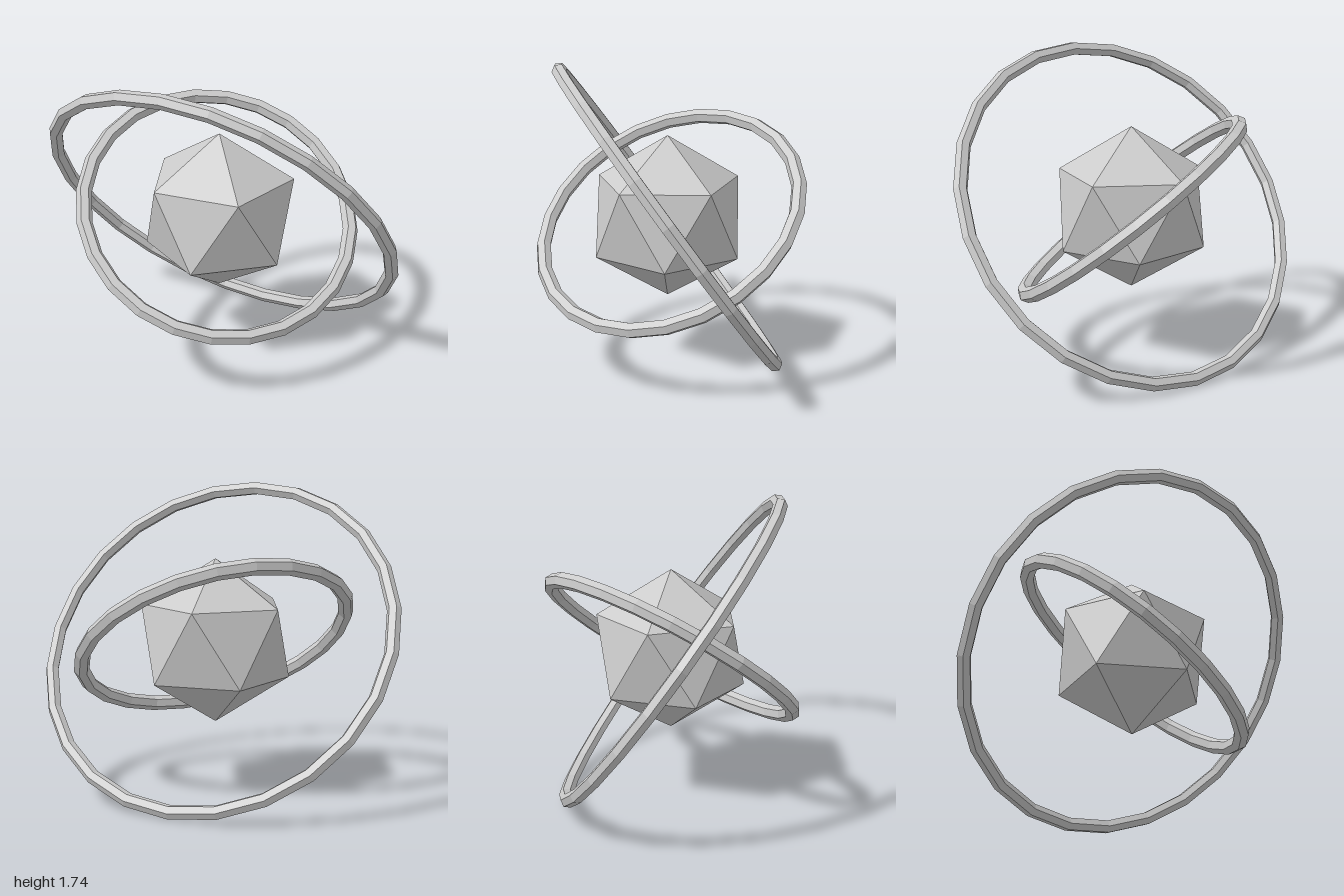
import * as THREE from 'three';

export function createModel() {
  const group = new THREE.Group();
  const material = new THREE.MeshStandardMaterial({ color: 0xcccccc, flatShading: true });
  const centreY = 0.872;

  const add = (name, geometry) => {
    const mesh = new THREE.Mesh(geometry, material);
    mesh.name = name;
    mesh.position.y = centreY;
    group.add(mesh);
    return mesh;
  };

  // Faceted core, turned so that one corner points straight up
  const core = new THREE.IcosahedronGeometry(0.465, 0);
  core.rotateZ(-Math.atan(2 / (1 + Math.sqrt(5))));
  add('core', core);

  // Two tilted rings around the core
  const addRing = (name, radius, tube, tiltX, tiltY) => {
    const ring = add(name, new THREE.TorusGeometry(radius, tube, 6, 24));
    ring.rotation.set(THREE.MathUtils.degToRad(tiltX), THREE.MathUtils.degToRad(tiltY), 0);
  };
  addRing('outerRing', 1.022, 0.04, 38, -20);
  addRing('innerRing', 0.767, 0.044, -53.7, 13.7);

  return group;
}
